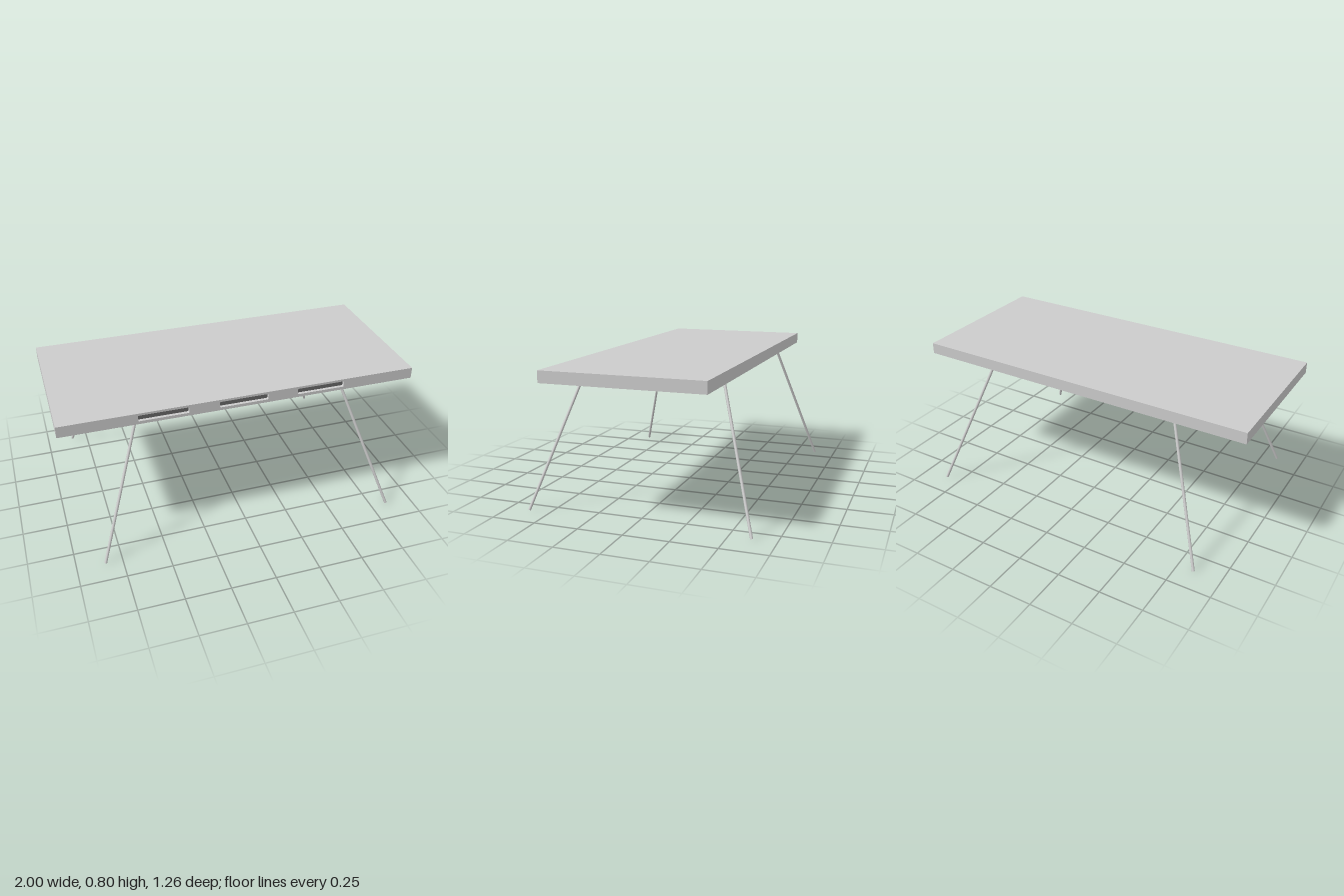
import * as THREE from 'three';

const W = 2, D = 0.886, Y0 = 0.74, Y1 = 0.804; // tabletop extents
const RECESS = 0.02;

// Rounded slot outline centred on (cx, cy)
function slotOutline(target, cx, cy, w, h, r) {
  const x = cx - w / 2, y = cy - h / 2;
  target.moveTo(x + r, y);
  target.lineTo(x + w - r, y);
  target.quadraticCurveTo(x + w, y, x + w, y + r);
  target.lineTo(x + w, y + h - r);
  target.quadraticCurveTo(x + w, y + h, x + w - r, y + h);
  target.lineTo(x + r, y + h);
  target.quadraticCurveTo(x, y + h, x, y + h - r);
  target.lineTo(x, y + r);
  target.quadraticCurveTo(x, y, x + r, y);
  return target;
}

export function createModel() {
  const group = new THREE.Group();
  const grey = new THREE.MeshStandardMaterial({ color: 0xcccccc });
  const dark = new THREE.MeshStandardMaterial({ color: 0x666666 });
  const add = (name, geometry, material = grey) => {
    const mesh = new THREE.Mesh(geometry, material);
    mesh.name = name;
    group.add(mesh);
    return mesh;
  };

  // Tabletop slab
  const slab = add('tabletop', new THREE.BoxGeometry(W, Y1 - Y0, D - RECESS));
  slab.position.set(0, (Y0 + Y1) / 2, -RECESS / 2);

  // Front edge with three slots cut through it
  const edge = new THREE.Shape();
  edge.moveTo(-W / 2, Y0);
  edge.lineTo(W / 2, Y0);
  edge.lineTo(W / 2, Y1);
  edge.lineTo(-W / 2, Y1);
  edge.closePath();
  const slotY = 0.774, slotW = 0.274, slotH = 0.034, slotR = 0.007;
  for (const x of [-0.443, 0, 0.443]) {
    edge.holes.push(slotOutline(new THREE.Path(), x, slotY, slotW, slotH, slotR));
    // Dark panel at the back of the slot
    const panel = slotOutline(new THREE.Shape(), x, slotY, slotW, slotH, slotR);
    add('slotPanel', new THREE.ShapeGeometry(panel, 4), dark).position.z = D / 2 - RECESS + 0.002;
  }
  const front = add('frontEdge', new THREE.ExtrudeGeometry(edge, { depth: RECESS, bevelEnabled: false, curveSegments: 4 }));
  front.position.z = D / 2 - RECESS;

  // Four thin splayed legs
  for (const sx of [-1, 1]) for (const sz of [-1, 1]) {
    const foot = new THREE.Vector3(sx * 0.844, 0.003, sz * 0.622);
    const head = new THREE.Vector3(sx * 0.58, 0.752, sz * 0.389);
    const dir = head.clone().sub(foot);
    const leg = add(`${sz > 0 ? 'front' : 'back'}${sx > 0 ? 'Left' : 'Right'}Leg`,
      new THREE.CylinderGeometry(0.008, 0.008, dir.length(), 20));
    leg.position.copy(foot).add(head).multiplyScalar(0.5);
    leg.quaternion.setFromUnitVectors(new THREE.Vector3(0, 1, 0), dir.normalize());
  }
  return group;
}
